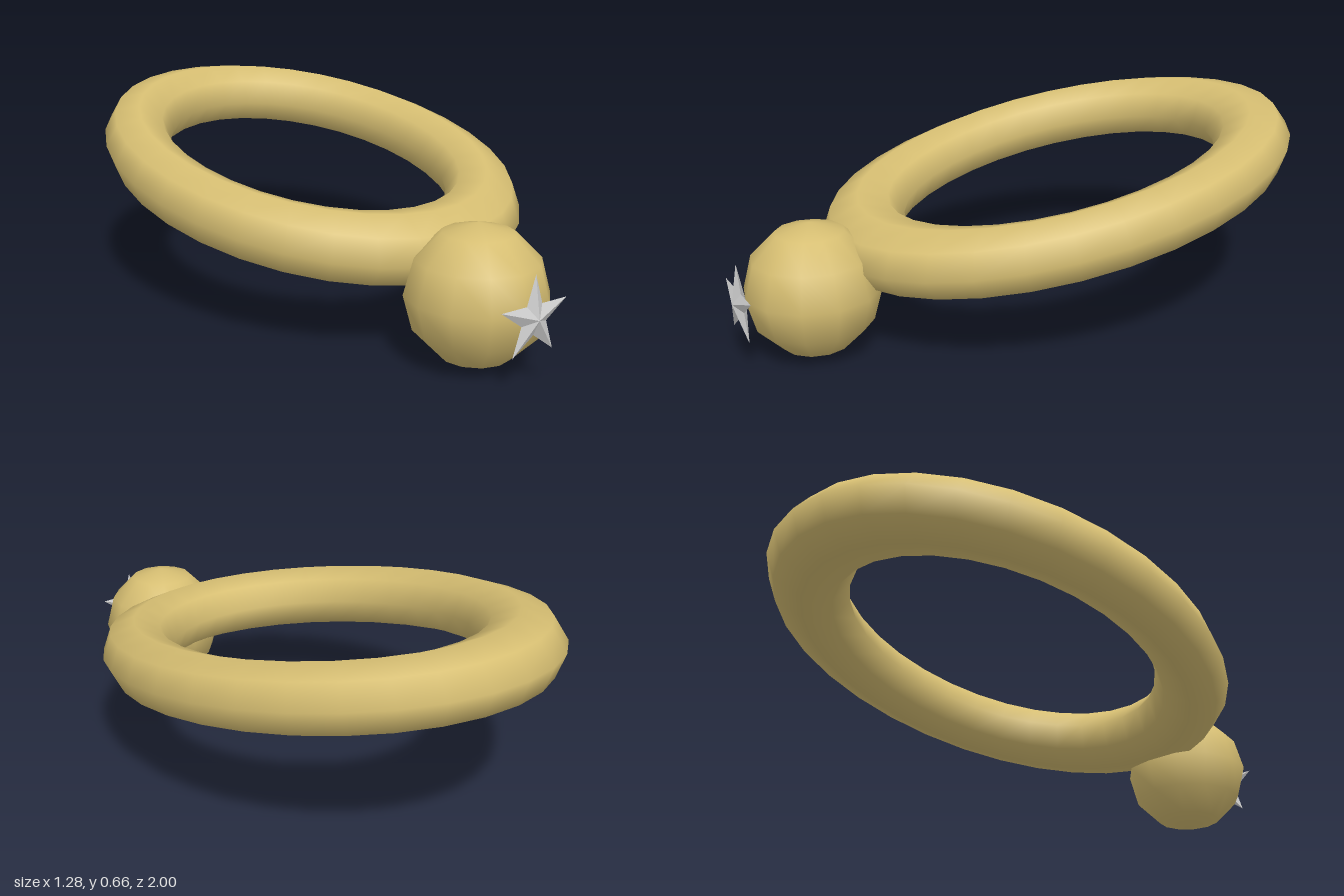
import * as THREE from 'three';

const gold = new THREE.MeshStandardMaterial({ color: 0xd6be72 });
gold.name = 'gold';
const silver = new THREE.MeshStandardMaterial({ color: 0xcccccc, flatShading: true });
silver.name = 'silver';

// Five-pointed star with a raised centre on both faces
function starGeometry(outer, inner, depth) {
  const rim = [];
  for (let i = 0; i < 10; i++) {
    const a = Math.PI / 2 + (i * Math.PI) / 5;
    const r = i % 2 ? inner : outer;
    rim.push([Math.cos(a) * r, Math.sin(a) * r, 0]);
  }
  const pos = [];
  for (let i = 0; i < 10; i++) {
    const a = rim[i], b = rim[(i + 1) % 10];
    pos.push(...a, ...b, 0, 0, depth);
    pos.push(...b, ...a, 0, 0, -depth);
  }
  const geo = new THREE.BufferGeometry();
  geo.setAttribute('position', new THREE.Float32BufferAttribute(pos, 3));
  geo.computeVertexNormals();
  return geo;
}

export function createModel() {
  const model = new THREE.Group();
  model.name = 'starRing';

  const add = (name, geo, mat, x, y, z) => {
    const mesh = new THREE.Mesh(geo, mat);
    mesh.name = name;
    mesh.position.set(x, y, z);
    model.add(mesh);
    return mesh;
  };

  // Oval band, stretched front to back and tilted up at the rear
  const band = new THREE.TorusGeometry(0.535, 0.107, 8, 32);
  band.rotateX(Math.PI / 2).scale(1, 1, 1.324);
  add('band', band, gold, 0, 0.437, -0.163).rotation.x = THREE.MathUtils.degToRad(10);

  // Ball at the front of the band
  add('ball', new THREE.SphereGeometry(0.214, 12, 6), gold, 0, 0.217, 0.744);

  // Star in front of the ball
  add('star', starGeometry(0.126, 0.048, 0.022), silver, 0, 0.217, 0.978);

  return model;
}
